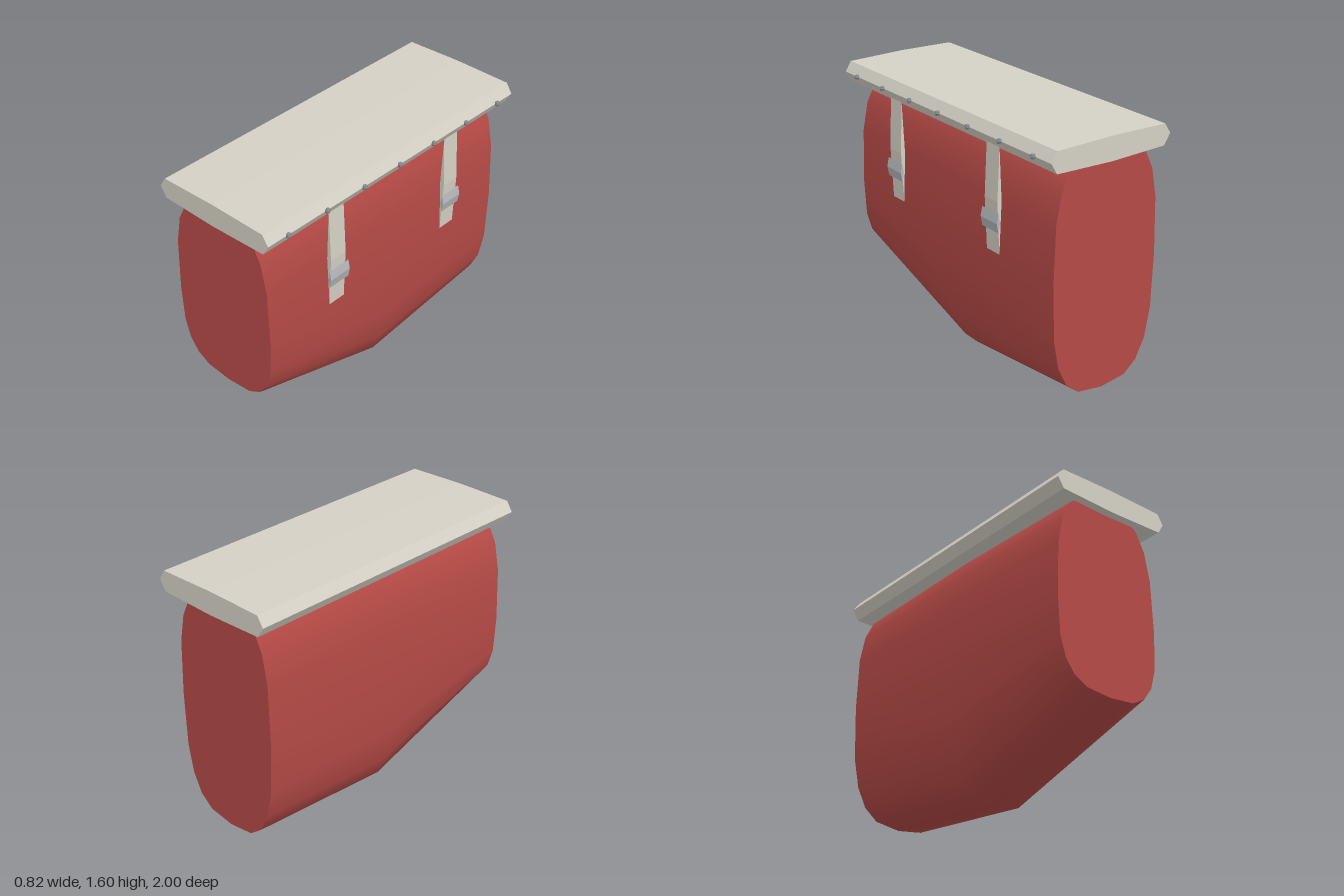
import * as THREE from 'three';

const CX = -0.035;   // centre line of the bag
const WIDEST = 0.825; // height of its widest point
const SIDES = 20;

const mat = (color, extra = {}) => new THREE.MeshStandardMaterial({ color, ...extra });

function add(parent, name, geometry, material) {
  const mesh = new THREE.Mesh(geometry, material);
  mesh.name = name;
  parent.add(mesh);
  return mesh;
}

// One rounded, superelliptic ring of the bag
function ring({ z, down, up }) {
  const soft = (v) => Math.sign(v) * Math.abs(v) ** 0.65;
  return Array.from({ length: SIDES }, (_, i) => {
    const a = (i / SIDES) * Math.PI * 2;
    const s = soft(Math.sin(a));
    return [CX + 0.355 * soft(Math.cos(a)), WIDEST + s * (s > 0 ? up : down), z];
  });
}

// Smooth skin through the rings, with separate flat end faces
function bagGeometry(sections) {
  const rings = sections.map(ring);
  const pos = rings.flat(2);
  const index = [];
  for (let r = 0; r < rings.length - 1; r++) {
    for (let i = 0; i < SIDES; i++) {
      const j = (i + 1) % SIDES;
      const a = r * SIDES + i, b = r * SIDES + j;
      index.push(a, a + SIDES, b, b, a + SIDES, b + SIDES);
    }
  }
  [rings[0], rings[rings.length - 1]].forEach((loop, end) => {
    const start = pos.length / 3;
    pos.push(...loop.flat());
    for (let i = 1; i < SIDES - 1; i++) {
      index.push(start, start + (end ? i + 1 : i), start + (end ? i : i + 1));
    }
  });
  const g = new THREE.BufferGeometry();
  g.setAttribute('position', new THREE.Float32BufferAttribute(pos, 3));
  g.setIndex(index);
  g.computeVertexNormals();
  return g;
}

// Closed x-y outline extruded along z, centred on z = 0
function prism(points, length) {
  const shape = new THREE.Shape(points.map(([x, y]) => new THREE.Vector2(x, y)));
  return new THREE.ExtrudeGeometry(shape, { depth: length, bevelEnabled: false })
    .translate(0, 0, -length / 2);
}

// Thin diamond outline
const diamond = (x, y, rx, ry) => [[x + rx, y], [x, y + ry], [x - rx, y], [x, y - ry]];

export function createModel() {
  const model = new THREE.Group();
  model.name = 'sideBag';
  const red = mat(0xb54a46);
  const cream = mat(0xd4d0c5);
  const metal = mat(0xb4b5b8);
  const rivetMetal = mat(0x85878a, { flatShading: true });

  // Bag body, deepest in the middle
  add(model, 'bagBody', bagGeometry([
    { z: 0.95, down: 0.488, up: 0.705 },
    { z: 0, down: 0.825, up: 0.735 },
    { z: -0.95, down: 0.725, up: 0.72 },
  ]), red);

  // Lid with pointed side edges and slightly crowned faces
  add(model, 'lid', prism([
    [0.388, 1.53], [0.35, 1.59], [-0.015, 1.597], [-0.375, 1.59],
    [-0.415, 1.53], [-0.375, 1.467], [-0.015, 1.457], [0.35, 1.467],
  ], 2), cream);

  // Row of rivets on the outer lid edge
  for (let i = -3; i <= 3; i++) {
    add(model, 'rivet', new THREE.SphereGeometry(0.017, 6, 4), rivetMetal)
      .position.set(0.393, 1.53, i * 0.286);
  }

  // Two straps with buckles on the outer side
  for (const z of [0.475, -0.475]) {
    const group = new THREE.Group();
    group.name = 'strapAndBuckle';
    group.position.z = z;
    add(group, 'strap', prism(diamond(0.361, 1.17, 0.014, 0.31), 0.115), cream);
    add(group, 'buckle', prism(diamond(0.38, 1.052, 0.011, 0.056), 0.148), metal);
    model.add(group);
  }
  return model;
}
